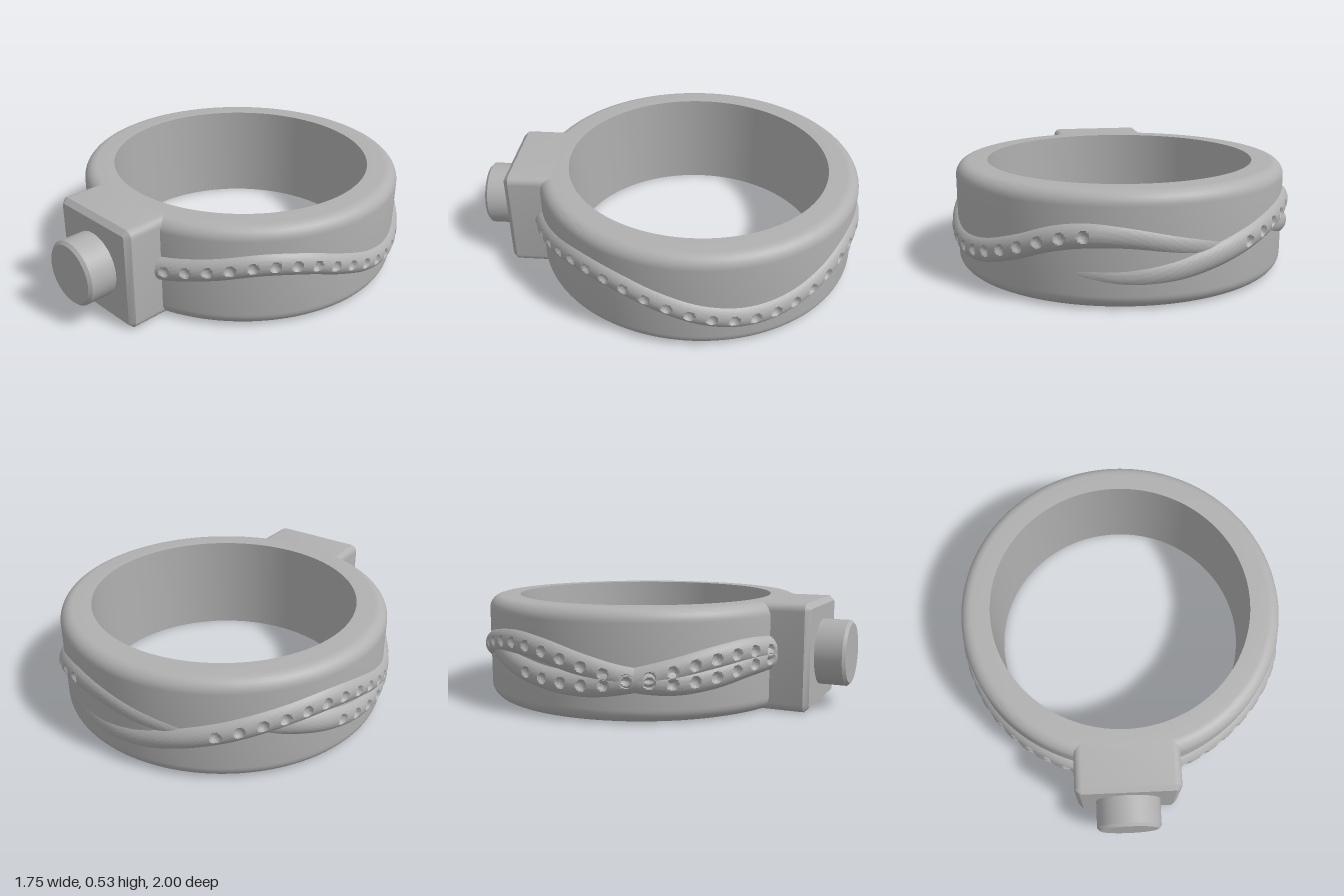
import * as THREE from 'three';
import { toCreasedNormals } from 'three/addons/utils/BufferGeometryUtils.js';

const CENTER_Z = -0.145, HEIGHT = 0.53, OUTER = 0.845, INNER = 0.685;

// Half-buried tube around the band. Stations: [angle in degrees, height, core radius];
// round pits are pressed in at every pitStep between two angles.
function vineGeometry(stations, pitFrom, pitTo) {
  const tube = 0.072, pit = 0.025, depth = 0.022, across = 30, spread = 1.5, pitStep = 7;
  const path = new THREE.CubicInterpolant(
    stations.map((s) => s[0]), stations.flatMap((s) => [s[1], s[2]]), 2, new Float32Array(2));
  const at = (deg) => [...path.evaluate(deg)];
  const first = stations[0][0], last = stations[stations.length - 1][0];
  const pits = [];
  for (let d = pitFrom; d <= pitTo; d += pitStep) pits.push([d, at(d)[0]]);

  const along = Math.round((last - first) / 0.42);
  const positions = [], index = [];
  for (let i = 0; i <= along; i++) {
    const deg = first + ((last - first) * i) / along;
    const phi = THREE.MathUtils.degToRad(deg);
    const [height, core] = at(deg);
    for (let j = 0; j <= across; j++) {
      const a = (j / across * 2 - 1) * spread;
      const y = height + tube * Math.sin(a);
      let r = core + tube * Math.cos(a);
      for (const [pd, py] of pits) {
        const d = Math.hypot(THREE.MathUtils.degToRad(deg - pd) * OUTER, y - py) / pit;
        if (d < 1) r -= depth * Math.sqrt(1 - d * d);
      }
      positions.push(Math.sin(phi) * r, y, Math.cos(phi) * r + CENTER_Z);
      if (i < along && j < across) {
        const k = i * (across + 1) + j, n = k + across + 1;
        index.push(k, n, n + 1, k, n + 1, k + 1);
      }
    }
  }
  const g = new THREE.BufferGeometry();
  g.setAttribute('position', new THREE.Float32BufferAttribute(positions, 3));
  g.setIndex(index);
  return toCreasedNormals(g, 0.7);
}

export function createModel() {
  const model = new THREE.Group();
  model.name = 'ring';
  const metal = new THREE.MeshStandardMaterial({ color: 0xb0b0b0 });
  metal.name = 'grey metal';
  const add = (name, geometry) => {
    const mesh = new THREE.Mesh(geometry, metal);
    mesh.name = name;
    model.add(mesh);
    return mesh;
  };

  // Band with rounded outer edges
  const fillet = 0.065, profile = [new THREE.Vector2(INNER, 0)];
  for (const [cy, start] of [[fillet, -Math.PI / 2], [HEIGHT - fillet, 0]]) {
    for (let i = 0; i <= 8; i++) {
      const a = start + (i / 8) * Math.PI / 2;
      profile.push(new THREE.Vector2(OUTER - fillet + fillet * Math.cos(a), cy + fillet * Math.sin(a)));
    }
  }
  profile.push(new THREE.Vector2(INNER, HEIGHT), new THREE.Vector2(INNER, 0));
  add('band', toCreasedNormals(new THREE.LatheGeometry(profile, 160), 0.6)).position.z = CENTER_Z;

  // Square setting block with a chamfered front
  const bevel = 0.025, w = 0.265 - bevel, lo = bevel, hi = HEIGHT - bevel, c = 0.015;
  const square = new THREE.Shape();
  square.moveTo(-w + c, lo);
  square.lineTo(w - c, lo);
  square.quadraticCurveTo(w, lo, w, lo + c);
  square.lineTo(w, hi - c);
  square.quadraticCurveTo(w, hi, w - c, hi);
  square.lineTo(-w + c, hi);
  square.quadraticCurveTo(-w, hi, -w, hi - c);
  square.lineTo(-w, lo + c);
  square.quadraticCurveTo(-w, lo, -w + c, lo);
  const block = new THREE.ExtrudeGeometry(square, {
    depth: 0.85 - 0.58 - 2 * bevel, bevelEnabled: true, bevelSegments: 1,
    bevelSize: bevel, bevelThickness: bevel, curveSegments: 5,
  });
  add('settingBlock', toCreasedNormals(block, 0.6)).position.z = 0.58 + bevel;

  // Round stud on the block
  const studProfile = [[0.165, 0], [0.165, 0.135], [0.15, 0.15], [0, 0.15]]
    .map(([x, y]) => new THREE.Vector2(x, y));
  const stud = add('stud', toCreasedNormals(new THREE.LatheGeometry(studProfile, 64), 0.6));
  stud.rotation.x = Math.PI / 2;
  stud.position.set(0, 0.268, 0.85);

  // Winding vines, sinking into the band where they taper out
  add('leftVine', vineGeometry([
    [14, 0.265, 0.815], [20, 0.275, 0.812], [35, 0.31, 0.805], [52, 0.342, 0.803], [67, 0.32, 0.803],
    [80, 0.265, 0.803], [95, 0.2, 0.803], [109, 0.172, 0.803], [123, 0.19, 0.803], [138, 0.25, 0.803],
    [150, 0.31, 0.803], [160, 0.335, 0.8], [172, 0.33, 0.79], [190, 0.285, 0.782], [208, 0.24, 0.774],
  ], 20.5, 161));
  add('backVine', vineGeometry([
    [158, 0.165, 0.773], [172, 0.15, 0.779], [188, 0.17, 0.788], [200, 0.21, 0.798], [213, 0.255, 0.803],
    [233, 0.318, 0.803], [250, 0.342, 0.803], [263, 0.318, 0.803], [277, 0.262, 0.803],
    [290, 0.213, 0.803], [305, 0.19, 0.803], [318, 0.208, 0.803], [332, 0.25, 0.807], [346, 0.275, 0.812],
  ], 213.5, 340));
  add('rightVine', vineGeometry([
    [226, 0.29, 0.775], [238, 0.26, 0.792], [250, 0.225, 0.802], [265, 0.188, 0.803], [278, 0.178, 0.803],
    [290, 0.198, 0.803], [303, 0.24, 0.803], [318, 0.292, 0.803], [332, 0.315, 0.807], [346, 0.3, 0.812],
  ], 255.5, 340));

  return model;
}
